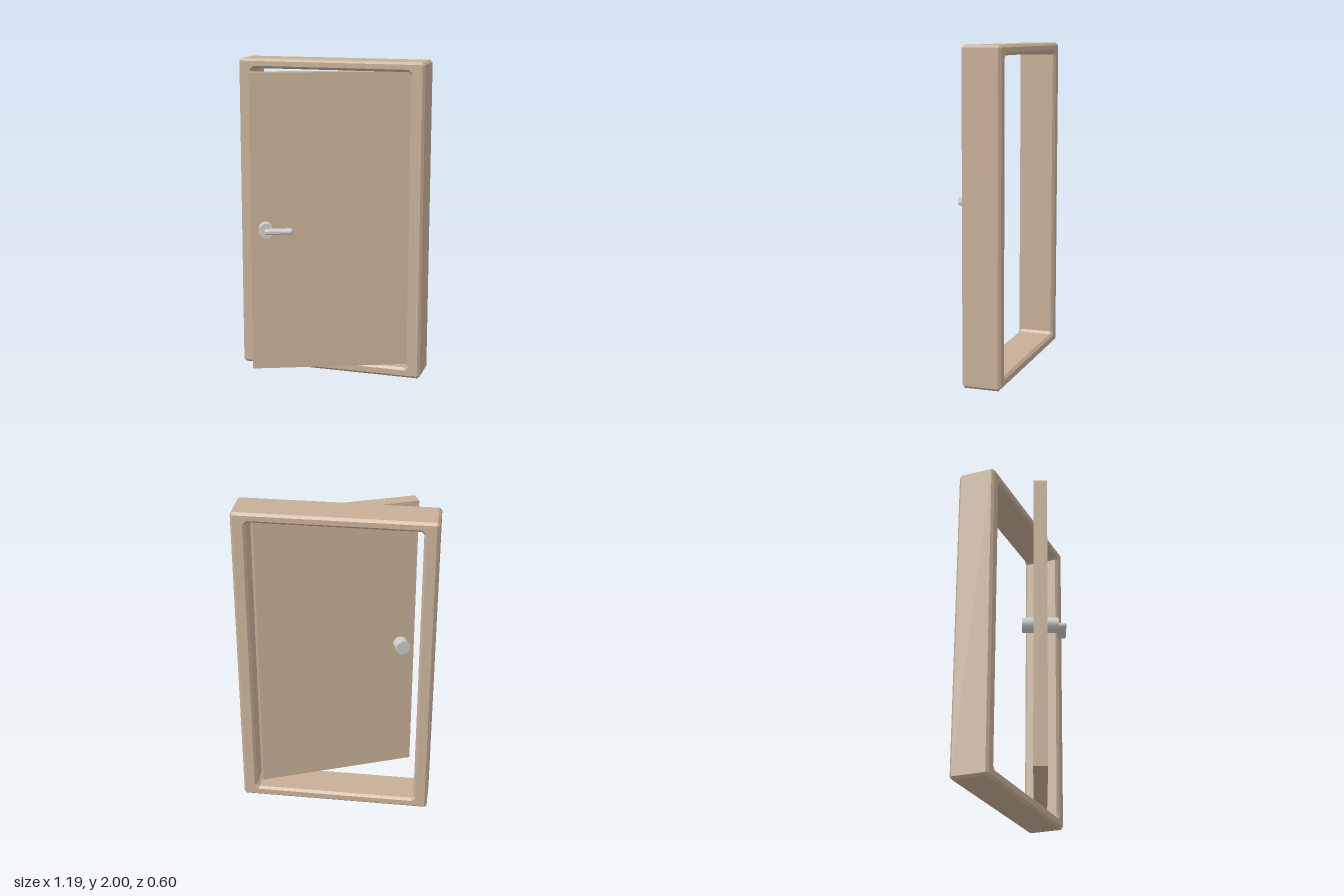
import * as THREE from 'three';

const wood = new THREE.MeshStandardMaterial({ color: 0xc6af97, flatShading: true });
const metal = new THREE.MeshStandardMaterial({ color: 0xcccccc });
const metalFlat = new THREE.MeshStandardMaterial({ color: 0xcccccc, flatShading: true });

// Rectangle outline with cut corners
function cutRect(x0, y0, x1, y1, c, Type = THREE.Shape) {
  return new Type([
    [x0 + c, y0], [x1 - c, y0], [x1, y0 + c], [x1, y1 - c],
    [x1 - c, y1], [x0 + c, y1], [x0, y1 - c], [x0, y0 + c],
  ].map(([x, y]) => new THREE.Vector2(x, y)));
}

// Extrusion from z0 to z1 whose front and back edges are chamfered inward
function chamferedExtrude(shape, z0, z1, b) {
  const geometry = new THREE.ExtrudeGeometry(shape, {
    depth: z1 - z0 - 2 * b, bevelEnabled: true, bevelSegments: 1,
    bevelThickness: b, bevelSize: b, bevelOffset: -b,
  });
  return geometry.translate(0, 0, z0 + b);
}

function addMesh(parent, name, geometry, material) {
  const mesh = new THREE.Mesh(geometry, material);
  mesh.name = name;
  parent.add(mesh);
  return mesh;
}

export function createModel() {
  const model = new THREE.Group();
  model.name = 'openDoor';

  // Frame with a chamfered opening
  const outline = cutRect(-0.595, 0, 0.595, 2, 0.015);
  outline.holes.push(cutRect(-0.508, 0.065, 0.508, 1.94, 0.015, THREE.Path));
  addMesh(model, 'doorFrame', chamferedExtrude(outline, -0.302, -0.064, 0.015), wood);

  // Door leaf, swung open; local origin on its free edge
  const leaf = new THREE.Group();
  leaf.name = 'door';
  leaf.position.set(-0.435, 0, 0.1835);
  leaf.rotation.y = 0.377;
  model.add(leaf);
  const panel = new THREE.BoxGeometry(1.0, 1.872, 0.083).translate(0.5, 1.003, 0);
  addMesh(leaf, 'doorPanel', panel, wood);

  // Round spindle through the door
  const spindle = new THREE.CylinderGeometry(0.046, 0.046, 0.216, 32).rotateX(Math.PI / 2);
  addMesh(leaf, 'handleSpindle', spindle, metal).position.set(0.091, 0.978, 0);

  // Lever on the front
  const lever = cutRect(0.08, 0.963, 0.252, 0.993, 0.008);
  addMesh(leaf, 'handleLever', chamferedExtrude(lever, 0.096, 0.154, 0.008), metalFlat);

  return model;
}
